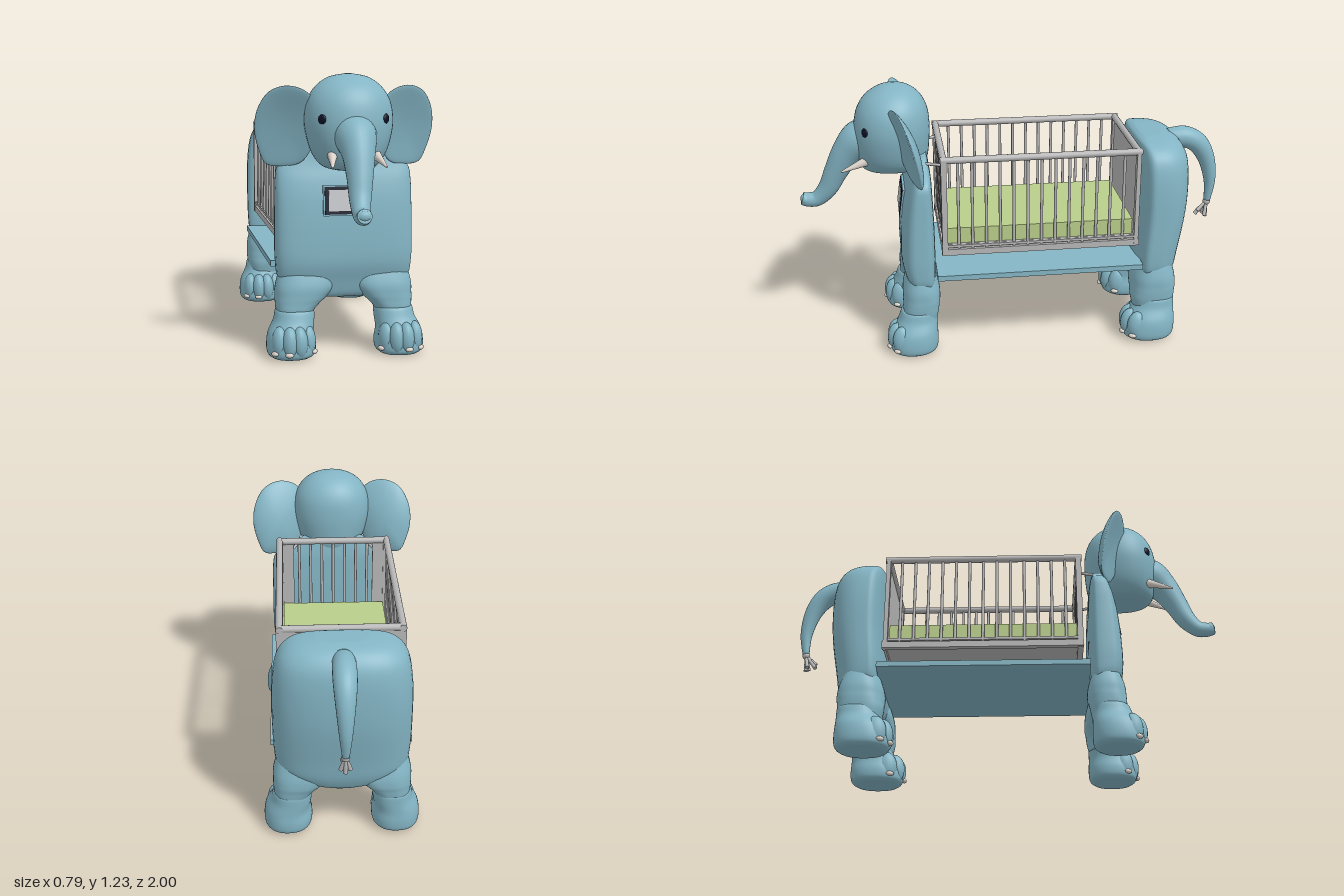
import * as THREE from 'three';
import { mergeVertices } from 'three/addons/utils/BufferGeometryUtils.js';

const mat = (name, color) => {
  const m = new THREE.MeshStandardMaterial({ color });
  m.name = name;
  return m;
};

// Smooth closed surface from a grid; fn(row, v) returns a point, normal = row x column
function surface(rows, cols, fn) {
  const pos = [], idx = [];
  for (let i = 0; i < rows; i++)
    for (let j = 0; j < cols; j++) pos.push(...fn(i, j / cols));
  for (let i = 0; i < rows - 1; i++)
    for (let j = 0; j < cols; j++) {
      const k = (j + 1) % cols;
      const a = i * cols + j, b = a + cols, c = i * cols + k, d = c + cols;
      idx.push(a, b, c, b, d, c);
    }
  const g = new THREE.BufferGeometry();
  g.setAttribute('position', new THREE.Float32BufferAttribute(pos, 3));
  g.setIndex(idx);
  const merged = mergeVertices(g, 1e-5);
  merged.computeVertexNormals();
  return merged;
}

// Catmull-Rom interpolation between rows of numbers
function sample(list, t) {
  const n = list.length - 1, i = Math.min(Math.floor(t), n - 1), f = t - i;
  const at = (k) => list[Math.max(0, Math.min(n, k))];
  return list[0].map((_, c) => {
    const [p, q, r, s] = [at(i - 1)[c], at(i)[c], at(i + 1)[c], at(i + 2)[c]];
    return q + 0.5 * f * (r - p + f * (2 * p - 5 * q + 4 * r - s + f * (3 * (q - r) + s - p)));
  });
}

// Upright loft of superellipses; each ring is [y, centreX, halfWidth, zBack, zFront]
function loft(rings, power = 2, split = 0.5, cols = 48) {
  const steps = 5, last = (rings.length - 1) * steps;
  return surface(last + 3, cols, (row, v) => {
    const t = Math.max(0, Math.min(last, row - 1)) / steps;
    const [y, cx, hw, zb, zf] = sample(rings, t);
    const zc = zb + (zf - zb) * split;
    if (row === 0 || row === last + 2) return [cx, y, zc];
    const c = Math.cos(v * Math.PI * 2), s = Math.sin(v * Math.PI * 2);
    const bend = (q) => Math.sign(q) * Math.abs(q) ** (2 / power);
    return [cx + hw * bend(c), y, zc + (s > 0 ? zf - zc : zc - zb) * bend(s)];
  });
}

// Tapered round tube in the yz plane; each point is [x, y, z, radius]
function taper(points, cols = 24) {
  const steps = 6, last = (points.length - 1) * steps;
  const side = new THREE.Vector3(1, 0, 0);
  return surface(last + 3, cols, (row, v) => {
    const t = Math.max(0, Math.min(last, row - 1)) / steps;
    const [x, y, z, r] = sample(points, t);
    if (row === 0 || row === last + 2) return [x, y, z];
    const a = sample(points, Math.max(0, t - 0.05)), b = sample(points, Math.min(points.length - 1, t + 0.05));
    const dir = new THREE.Vector3(0, b[1] - a[1], b[2] - a[2]).normalize();
    const up = side.clone().cross(dir);
    const c = Math.cos(v * Math.PI * 2) * r, s = Math.sin(v * Math.PI * 2) * r;
    return [x + c, y + up.y * s, z + up.z * s];
  });
}

// Dished, padded ear
function earGeometry(s) {
  const outline = new THREE.CatmullRomCurve3([
    [0.14, 1.11], [0.19, 1.165], [0.265, 1.185], [0.335, 1.16], [0.38, 1.09], [0.393, 1.0],
    [0.37, 0.9], [0.34, 0.845], [0.28, 0.835], [0.2, 0.85], [0.16, 0.9], [0.13, 1.0],
  ].map(([x, y]) => new THREE.Vector3(x, y, 0)), true);
  const rows = 25;
  return surface(rows, 56, (row, v) => {
    const phi = Math.PI * row / (rows - 1), t = Math.sin(phi);
    const p = outline.getPoint(s > 0 ? (1 - v) % 1 : v);
    const x = 0.26 + (p.x - 0.26) * t, y = 1.01 + (p.y - 1.01) * t;
    const z = 0.495 + 0.25 * (y - 1.05) - 0.3 * (x - 0.25) + 0.03 * t * t + 0.022 * Math.cos(phi);
    return [s * x, y, z];
  });
}

export function createModel() {
  const model = new THREE.Group();
  model.name = 'elephantCrib';
  const skin = mat('blueSkin', 0x84b5c5), metal = mat('greyFrame', 0xb9b8b8), green = mat('greenMattress', 0xb9ce8b);
  const dark = mat('darkNavy', 0x0d1226), ivory = mat('ivory', 0xdcd4cc), glass = mat('screenGrey', 0xc6c7cb);

  const add = (name, geometry, material, x = 0, y = 0, z = 0, parent = model) => {
    const m = new THREE.Mesh(geometry, material);
    m.name = name;
    m.position.set(x, y, z);
    parent.add(m);
    return m;
  };
  const box = (name, w, h, d, material, x, y, z) => add(name, new THREE.BoxGeometry(w, h, d), material, x, y, z);
  const ball = (name, material, p, size, parent = model) => {
    const m = add(name, new THREE.SphereGeometry(1, 20, 14), material, ...p, parent);
    m.scale.set(...size);
    return m;
  };
  // Straight rod or cone between two points
  const rod = (name, a, b, r0, r1, material) => {
    const A = new THREE.Vector3(...a), B = new THREE.Vector3(...b), d = B.clone().sub(A);
    const m = add(name, new THREE.CylinderGeometry(r1, r0, d.length(), 12), material, ...A.add(B).multiplyScalar(0.5));
    m.quaternion.setFromUnitVectors(new THREE.Vector3(0, 1, 0), d.normalize());
  };

  // Front and rear bodies
  add('frontBody', loft([
    [0.255, 0, 0.1, 0.42, 0.49], [0.275, 0, 0.2, 0.405, 0.505], [0.33, 0, 0.285, 0.39, 0.52], [0.42, 0, 0.303, 0.385, 0.542],
    [0.55, 0, 0.305, 0.385, 0.54], [0.68, 0, 0.303, 0.388, 0.528], [0.77, 0, 0.301, 0.392, 0.51],
    [0.83, 0, 0.29, 0.395, 0.49], [0.87, 0, 0.24, 0.4, 0.48], [0.93, 0, 0.15, 0.41, 0.47],
  ], 4, 0.4), skin);
  add('rearBody', loft([
    [0.255, 0, 0.1, -0.74, -0.6], [0.275, 0, 0.2, -0.755, -0.58], [0.33, 0, 0.28, -0.775, -0.565], [0.42, 0, 0.3, -0.79, -0.56],
    [0.6, 0, 0.303, -0.82, -0.57], [0.75, 0, 0.3, -0.828, -0.572], [0.86, 0, 0.285, -0.82, -0.572],
    [0.92, 0, 0.255, -0.795, -0.573], [0.955, 0, 0.2, -0.755, -0.575], [0.97, 0, 0.11, -0.7, -0.6],
  ], 2.8, 0.75), skin);

  // Legs and feet
  const toes = [-58, -20, 12, 48];
  for (const s of [-1, 1]) {
    for (const [name, back, front, footZ, stretch] of [['front', 0.375, 0.545, 0.51, 1], ['rear', -0.755, -0.545, -0.618, 1.1]]) {
      add(name + 'Leg', loft([[0.15, 0.22, 0.075], [0.2, 0.22, 0.083], [0.235, 0.206, 0.1], [0.265, 0.19, 0.116], [0.32, 0.17, 0.133], [0.42, 0.155, 0.12]]
        .map(([y, x, hw], i) => [y, s * x, hw, back + [0.015, 0.005, 0, -0.005, 0, 0.03][i], front - [0.01, 0, 0, 0, 0.005, 0.04][i]]), 2.6), skin);
      const foot = new THREE.Group();
      foot.name = name + 'Foot';
      foot.position.set(s * 0.242, 0, footZ);
      foot.scale.z = stretch;
      model.add(foot);
      add('footPad', loft([
        [0.003, 0, 0.085, -0.095, 0.08], [0.02, 0, 0.104, -0.118, 0.1], [0.06, 0, 0.108, -0.124, 0.1], [0.11, 0, 0.1, -0.122, 0.085],
        [0.16, -s * 0.015, 0.09, -0.122, 0.06], [0.2, -s * 0.02, 0.086, -0.122, 0.045], [0.206, -s * 0.02, 0.078, -0.115, 0.035],
      ], 2.3), skin, 0, 0, 0, foot);
      toes.forEach((deg, i) => {
        const a = deg * Math.PI / 180, dx = s * Math.sin(a), dz = Math.cos(a);
        ball('toe', skin, [dx * 0.078, 0.075, dz * 0.072], [0.036, 0.073, 0.045], foot);
        if (i === 1) return;
        ball('toenail', ivory, [dx * 0.111, 0.034, dz * 0.11], [0.018, 0.011, 0.011], foot).rotation.y = s * a;
      });
    }
  }

  // Head and trunk
  add('head', loft([
    [0.83, 0, 0.07, 0.47, 0.65], [0.845, 0, 0.115, 0.425, 0.7], [0.89, 0, 0.153, 0.4, 0.722], [0.96, 0, 0.178, 0.39, 0.735], [1.04, 0, 0.19, 0.386, 0.735],
    [1.12, 0, 0.178, 0.395, 0.718], [1.18, 0, 0.142, 0.425, 0.68], [1.22, 0, 0.085, 0.475, 0.62], [1.235, 0, 0.015, 0.535, 0.565],
  ], 2.1), skin);
  add('trunk', taper([
    [0, 1.0, 0.64, 0.08], [0, 0.975, 0.71, 0.09], [0, 0.915, 0.772, 0.07], [-0.005, 0.825, 0.825, 0.055],
    [-0.012, 0.745, 0.865, 0.046], [-0.018, 0.69, 0.915, 0.037], [-0.02, 0.682, 0.96, 0.034], [-0.02, 0.69, 0.99, 0.03],
  ]), skin);
  ball('trunkTip', skin, [-0.02, 0.687, 0.975], [0.034, 0.026, 0.024]);
  for (const s of [-1, 1]) {
    add('ear', earGeometry(s), skin);
    ball('eye', dark, [s * 0.135, 1.05, 0.683], [0.02, 0.021, 0.009]).rotation.y = s * 0.78;
    rod('tusk', [s * 0.09, 0.905, 0.67], [s * 0.113, 0.86, 0.8], 0.024, 0.004, ivory);
  }

  // Tail with tassel
  add('tail', taper([
    [0, 0.915, -0.75, 0.048], [0, 0.92, -0.83, 0.051], [0, 0.882, -0.9, 0.049], [0, 0.8, -0.948, 0.04], [0, 0.69, -0.971, 0.028], [0, 0.585, -0.965, 0.016],
  ]), skin);
  ball('tasselKnot', metal, [0, 0.578, -0.963], [0.018, 0.018, 0.018]);
  [[0, -0.96, 0.5], [0.02, -0.95, 0.51], [-0.02, -0.95, 0.51], [0.012, -0.915, 0.535], [-0.012, -0.912, 0.51]].forEach(([x, z, y]) =>
    rod('tasselStrand', [0, 0.58, -0.963], [x, y, z], 0.007, 0.01, metal));

  // Chest screen
  const screen = new THREE.Group();
  screen.name = 'chestScreen';
  screen.position.set(0, 0.687, 0.522);
  screen.rotation.x = -0.14;
  model.add(screen);
  add('screenSurround', new THREE.BoxGeometry(0.208, 0.133, 0.024), skin, 0, 0, 0, screen);
  add('screenBezel', new THREE.BoxGeometry(0.194, 0.12, 0.03), dark, 0, 0, 0, screen);
  add('screenGlass', new THREE.BoxGeometry(0.16, 0.092, 0.006), glass, 0, 0, 0.0145, screen);

  // Lower shelf with a bowed underside
  const deck = new THREE.Shape();
  deck.moveTo(-0.315, 0.405).lineTo(-0.315, 0.38).quadraticCurveTo(0, 0.31, 0.315, 0.38).lineTo(0.315, 0.405);
  add('shelf', new THREE.ExtrudeGeometry(deck, { depth: 0.96, bevelEnabled: false, curveSegments: 20 }), skin, 0, 0, -0.575);

  // Crib frame, bars and mattress
  const zF = 0.345, zR = -0.545, zMid = (zF + zR) / 2, X = 0.263, top = 0.949;
  box('cribBase', 0.52, 0.03, 0.89, metal, 0, 0.525, zMid);
  box('mattress', 0.5, 0.075, 0.86, green, 0, 0.577, zMid);
  box('rearPanel', 0.53, 0.45, 0.012, metal, 0, 0.72, zR - 0.005);
  for (const s of [-1, 1]) {
    rod('sideTopRail', [s * X, top, zR - 0.015], [s * X, top, zF + 0.015], 0.016, 0.016, metal);
    box('sideBottomRail', 0.028, 0.03, 0.92, metal, s * X, 0.505, zMid);
    box('sideLowerRail', 0.02, 0.012, 0.9, metal, s * X, 0.533, zMid);
    box('frontPost', 0.03, 0.46, 0.026, metal, s * X, 0.72, zF);
    box('rearPost', 0.03, 0.46, 0.02, metal, s * X, 0.72, zR);
    box('frontCornerPanel', 0.06, 0.44, 0.012, metal, s * 0.225, 0.72, zF);
    rod('bodyPin', [s * 0.2, 0.905, zF], [s * 0.17, 0.905, 0.43], 0.007, 0.007, metal);
    for (let i = 0; i < 13; i++) {
      const z = zF - (i + 1) * (zF - zR) / 14;
      rod('sideBar', [s * X, 0.51, z], [s * X, top, z], 0.007, 0.007, metal);
    }
  }
  for (const z of [zF, zR]) rod('endTopRail', [-X, top, z], [X, top, z], 0.016, 0.016, metal);
  box('frontBottomRail', 0.53, 0.045, 0.026, metal, 0, 0.512, zF);
  for (let i = -3; i <= 3; i++) rod('frontBar', [i * 0.056, 0.51, zF], [i * 0.056, top, zF], 0.007, 0.007, metal);

  return model;
}
